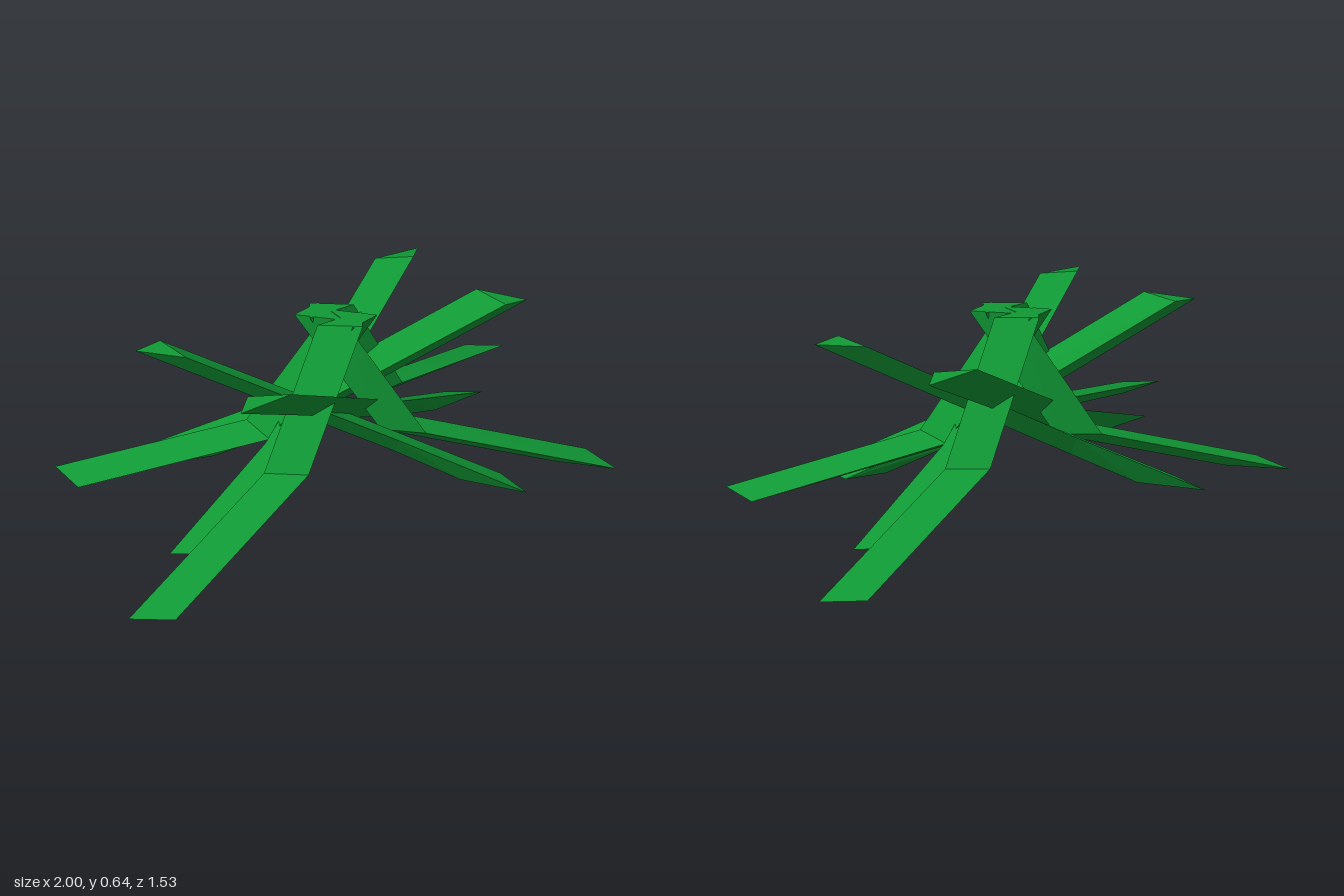
import * as THREE from 'three';

const green = new THREE.MeshStandardMaterial({ color: 0x109a35, flatShading: true });

// Bent three-sided blade: loops of three corners (two upper edges, one lower ridge)
function blade(name, sections) {
  const loops = sections.map(s => s.map(c => new THREE.Vector3(...c)));
  const tris = [];
  for (let i = 0; i < loops.length - 1; i++) {
    for (let k = 0; k < 3; k++) {
      const n = (k + 1) % 3, A = loops[i], B = loops[i + 1];
      tris.push([A[k], A[n], B[n]], [A[k], B[n], B[k]]);
    }
  }
  const first = loops[0], last = loops[loops.length - 1];
  tris.push([first[2], first[1], first[0]], [last[0], last[1], last[2]]);

  // Keep every face pointing outward whichever way the loops run
  const volume = tris.reduce((v, [a, b, c]) => v + a.dot(b.clone().cross(c)), 0);
  const points = tris.flatMap(([a, b, c]) => (volume > 0 ? [a, b, c] : [a, c, b]));
  const geometry = new THREE.BufferGeometry().setFromPoints(points);
  geometry.computeVertexNormals();
  const mesh = new THREE.Mesh(geometry, green);
  mesh.name = name;
  return mesh;
}

// Each blade: ground tip, bend, upper end
const blades = {
  longSideBlade: [
    [[1, 0, 0.14], [0.92, 0, 0], [0.78, 0, 0.06]],
    [[0.31, 0.18, 0.085], [0.24, 0.18, -0.05], [0.16, 0.16, 0.01]],
    [[0.02, 0.64, 0.04], [-0.05, 0.64, -0.09], [-0.14, 0.64, -0.02]],
  ],
  longDiagonalBlade: [
    [[0.77, 0, -0.74], [0.62, 0, -0.765], [0.59, 0, -0.65]],
    [[0.28, 0.18, -0.25], [0.13, 0.18, -0.28], [0.12, 0.16, -0.185]],
    [[0.07, 0.64, -0.06], [-0.08, 0.64, -0.09], [-0.09, 0.64, 0.01]],
  ],
  crossingSideBlade: [
    [[-0.65, 0, -0.24], [-0.58, 0, -0.11], [-0.43, 0, -0.13]],
    [[-0.2, 0.21, -0.16], [-0.13, 0.21, -0.04], [-0.2, 0.11, -0.08]],
    [[0.52, 0.61, -0.16], [0.6, 0.61, -0.04], [0.685, 0.6, -0.08]],
  ],
  crossingDiagonalBlade: [
    [[0.62, 0, -0.42], [0.48, 0, -0.44], [0.42, 0, -0.32]],
    [[0.26, 0.2, -0.1], [0.12, 0.2, -0.11], [0.19, 0.1, -0.15]],
    [[-0.2, 0.61, 0.425], [-0.34, 0.61, 0.42], [-0.37, 0.6, 0.5]],
  ],
};

export function createModel() {
  const model = new THREE.Group();
  model.name = 'plant';
  // Two identical halves, one turned half way round
  for (const [half, turn] of [['Left', 0], ['Right', Math.PI]]) {
    const group = new THREE.Group();
    group.name = `leafCluster${half}`;
    group.rotation.y = turn;
    for (const [name, sections] of Object.entries(blades)) group.add(blade(name, sections));
    model.add(group);
  }
  return model;
}
